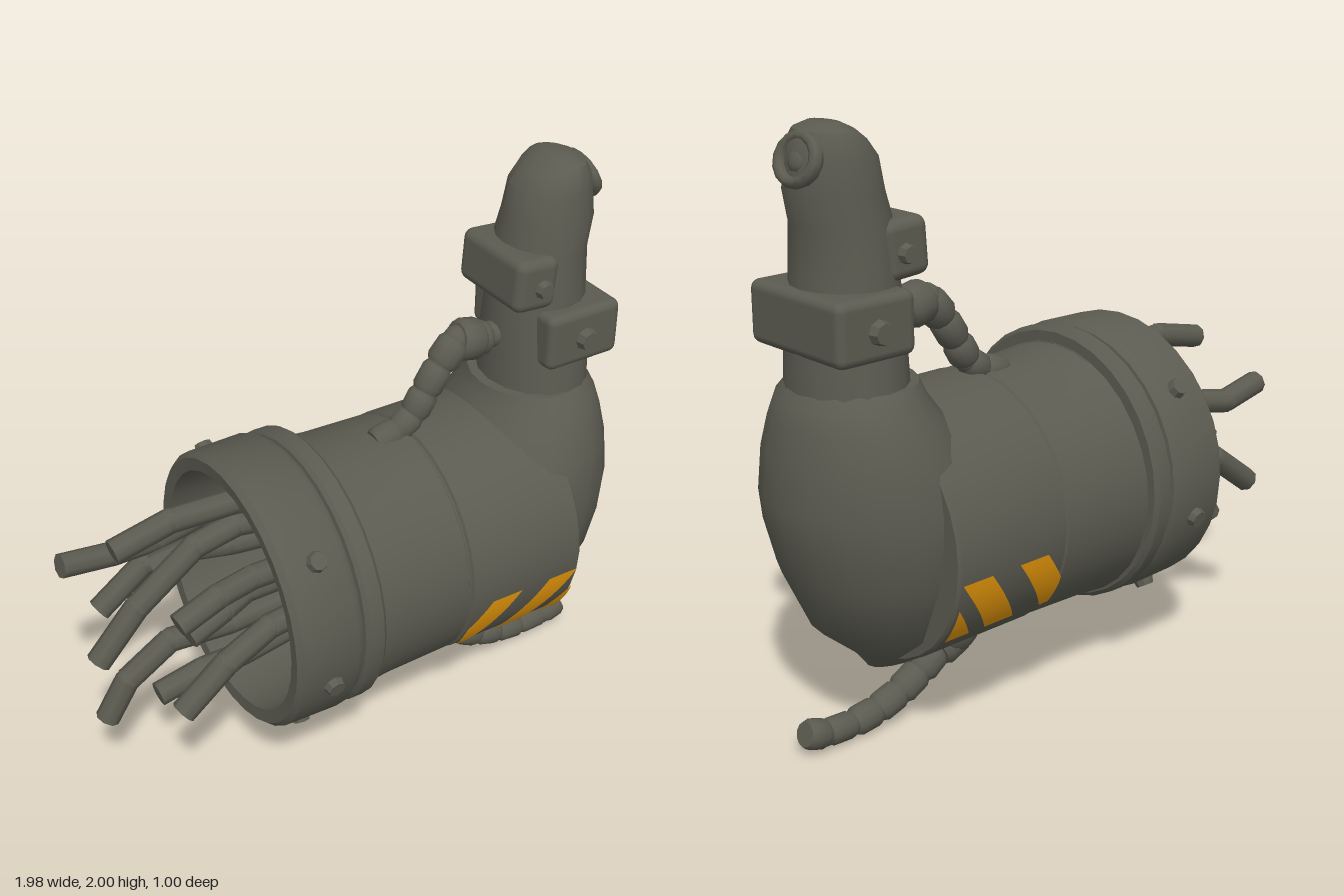
import * as THREE from 'three';
import { toCreasedNormals } from 'three/addons/utils/BufferGeometryUtils.js';
import { RoundedBoxGeometry } from 'three/addons/geometries/RoundedBoxGeometry.js';

const AXIS_Y = 0.703, BARREL_R = 0.433;

export function createModel() {
  const model = new THREE.Group();
  model.name = 'mechanicalArm';
  const metal = new THREE.MeshStandardMaterial({ color: 0x5b5b51 });
  metal.name = 'dark metal';
  const orange = new THREE.MeshStandardMaterial({ color: 0xe6970a, side: THREE.DoubleSide });
  orange.name = 'warning orange';

  const add = (name, geometry, material = metal, parent = model) => {
    const mesh = new THREE.Mesh(geometry, material);
    mesh.name = name;
    parent.add(mesh);
    return mesh;
  };
  const group = (name) => {
    const g = new THREE.Group();
    g.name = name;
    model.add(g);
    return g;
  };
  const crease = (g, angle = 0.6) => toCreasedNormals(g, angle);

  // Lathe turned about the x axis; profile entries are [x, radius]
  const turned = (profile, y) => {
    const g = new THREE.LatheGeometry(profile.map(([x, r]) => new THREE.Vector2(r, x)), 32);
    return crease(g.rotateZ(-Math.PI / 2).translate(0, y, 0));
  };

  // Stack of horizontal ovals, each [y, xMin, xMax, halfDepth], capped at both ends
  const loft = (rings, n = 20) => {
    const pos = [], idx = [];
    for (const [y, x0, x1, w] of rings)
      for (let j = 0; j < n; j++) {
        const t = (j / n) * Math.PI * 2;
        pos.push((x0 + x1) / 2 + Math.cos(t) * (x1 - x0) / 2, y, Math.sin(t) * w);
      }
    const last = rings.length - 1;
    for (let i = 0; i < last; i++)
      for (let j = 0; j < n; j++) {
        const a = i * n + j, b = i * n + (j + 1) % n;
        idx.push(a, a + n, b, b, a + n, b + n);
      }
    for (const i of [0, last]) {
      const [y, x0, x1] = rings[i], c = pos.length / 3;
      pos.push((x0 + x1) / 2, y, 0);
      for (let j = 0; j < n; j++) {
        const a = i * n + j, b = i * n + (j + 1) % n;
        idx.push(...(i === 0 ? [c, a, b] : [c, b, a]));
      }
    }
    const g = new THREE.BufferGeometry();
    g.setAttribute('position', new THREE.Float32BufferAttribute(pos, 3));
    g.setIndex(idx);
    return crease(g);
  };

  // Solid round link from a to b; a waist below 1 narrows its ends
  const link = (name, a, b, r, waist, sides, parent) => {
    const len = a.distanceTo(b), e = Math.min(0.018, len * 0.25);
    const p = [[0, 0], [r * waist, 0], [r, e], [r, len - e], [r * waist, len], [0, len]];
    const mesh = add(name, crease(new THREE.LatheGeometry(p.map(([x, y]) => new THREE.Vector2(x, y)), sides), 0.9), metal, parent);
    mesh.position.copy(a);
    mesh.quaternion.setFromUnitVectors(new THREE.Vector3(0, 1, 0), b.clone().sub(a).normalize());
  };

  const bolt = (name, x, y, z, dir, r = 0.04) => {
    const mesh = add(name, crease(new THREE.CylinderGeometry(r * 0.75, r, 0.045, 8)));
    mesh.position.set(x, y, z);
    mesh.quaternion.setFromUnitVectors(new THREE.Vector3(0, 1, 0), dir);
  };

  // Main barrel with a seam, closed at the back of the hollow
  add('barrel', turned([[-0.16, 0], [-0.16, 0.445], [-0.05, 0.436], [0.188, 0.43],
    [0.194, 0.422], [0.2, 0.422], [0.206, BARREL_R], [0.64, BARREL_R], [0.65, 0.425], [0.65, 0]], AXIS_Y));

  // Open collar and the narrow ring behind it
  add('collar', turned([[-0.49, 0.42], [-0.495, 0.465], [-0.475, 0.482], [-0.28, 0.486], [-0.255, 0.472],
    [-0.25, 0.44], [-0.16, 0.43], [-0.16, 0.4], [-0.49, 0.42]], 0.72));
  add('collarRing', turned([[-0.25, 0.43], [-0.243, 0.47], [-0.23, 0.482], [-0.18, 0.482], [-0.165, 0.468],
    [-0.165, 0.43], [-0.25, 0.43]], 0.72));
  for (const side of [1, -1])
    for (const deg of [40, -14, -60]) {
      const t = deg * Math.PI / 180;
      const d = new THREE.Vector3(0, Math.sin(t), Math.cos(t) * side);
      bolt('collarBolt', -0.365, 0.72 + d.y * 0.485, d.z * 0.485, d);
    }

  // Elbow housing and the tapering forearm
  add('elbow', loft([[0.235, 0.4, 0.67, 0.07], [0.29, 0.32, 0.71, 0.16], [0.4, 0.32, 0.84, 0.265],
    [0.6, 0.27, 0.93, 0.345], [0.75, 0.25, 0.97, 0.368], [0.85, 0.25, 0.983, 0.368], [1.0, 0.38, 0.965, 0.335],
    [1.1, 0.44, 0.945, 0.295], [1.17, 0.49, 0.925, 0.255], [1.215, 0.505, 0.89, 0.22]]));
  add('forearm', loft([[1.18, 0.54, 0.9, 0.215], [1.33, 0.54, 0.9, 0.2], [1.5, 0.55, 0.88, 0.178],
    [1.7, 0.57, 0.872, 0.166], [1.8, 0.595, 0.895, 0.155], [1.9, 0.615, 0.882, 0.145],
    [1.95, 0.655, 0.87, 0.132], [1.98, 0.695, 0.85, 0.115], [2.0, 0.735, 0.8, 0.07]], 16));

  // Socket on the forearm tip
  const socket = group('tipSocket');
  socket.position.set(0.866, 1.9, 0);
  socket.rotation.set(0, Math.PI / 2, 0);
  socket.rotateX(-0.35);
  add('socketRim', new THREE.TorusGeometry(0.084, 0.022, 8, 14), metal, socket).scale.y = 0.82;
  add('socketPin', new THREE.SphereGeometry(0.04, 10, 6), metal, socket).scale.z = 0.5;

  // Clamps around the forearm
  add('wideClamp', new RoundedBoxGeometry(0.29, 0.2, 0.45, 2, 0.03)).position.set(0.765, 1.42, 0);
  const small = add('smallClamp', new RoundedBoxGeometry(0.165, 0.185, 0.34, 3, 0.035));
  small.position.set(0.6, 1.625, 0);
  small.rotation.z = -0.07;
  for (const side of [1, -1]) {
    const d = new THREE.Vector3(0, 0, side);
    bolt('wideClampBolt', 0.765, 1.415, side * 0.233, d, 0.044);
    bolt('smallClampBolt', 0.615, 1.615, side * 0.175, d, 0.036);
  }

  // Segmented hoses; points are [x, y, radius]
  const hose = (name, pts) => {
    const g = group(name);
    for (let i = 0; i < pts.length - 1; i++)
      link('hoseLink', new THREE.Vector3(pts[i][0], pts[i][1], 0),
        new THREE.Vector3(pts[i + 1][0], pts[i + 1][1], 0), pts[i][2], 0.82, 12, g);
    for (const [x, y, r] of pts.slice(1, -1))
      add('hoseJoint', new THREE.SphereGeometry(r * 0.85, 10, 8), metal, g).position.set(x, y, 0);
  };
  hose('upperHose', [[0.65, 1.39, 0.045], [0.49, 1.39, 0.072], [0.4, 1.41, 0.058], [0.335, 1.335, 0.053],
    [0.28, 1.25, 0.053], [0.235, 1.175, 0.05], [0.17, 1.13, 0.052], [0.08, 1.11, 0.05]]);
  hose('lowerHose', [[0.2, 0.265, 0.05], [0.29, 0.235, 0.072], [0.385, 0.195, 0.058], [0.46, 0.14, 0.055],
    [0.545, 0.095, 0.052], [0.64, 0.064, 0.05], [0.74, 0.052, 0.046], [0.85, 0.057, 0.05], [0.93, 0.083, 0.05]]);
  add('lowerHoseSaddle', new THREE.SphereGeometry(0.1, 12, 8)).position.set(0.32, 0.27, 0);

  // Loose bent cables spilling from the open end
  const cables = [
    [[-0.885, 1.035, 0], [-0.68, 1.08, 0], [-0.45, 1.07, 0]],
    [[-0.985, 0.885, -0.21], [-0.8, 0.855, -0.22], [-0.65, 0.88, -0.19], [-0.5, 0.92, -0.18]],
    [[-0.97, 0.625, 0], [-0.82, 0.79, 0], [-0.6, 0.95, 0], [-0.45, 0.98, 0]],
    [[-0.82, 0.57, 0.3], [-0.66, 0.7, 0.3], [-0.48, 0.745, 0.26]],
    [[-0.94, 0.33, -0.05], [-0.86, 0.47, -0.04], [-0.7, 0.58, -0.03], [-0.48, 0.57, -0.02]],
    [[-0.77, 0.395, 0], [-0.6, 0.43, 0], [-0.45, 0.43, 0]],
    [[-0.77, 0.83, 0.2], [-0.62, 0.88, 0.19], [-0.48, 0.88, 0.16]],
    [[-0.83, 0.57, -0.31], [-0.65, 0.7, -0.31], [-0.48, 0.74, -0.27]],
    [[-0.7, 0.83, -0.12], [-0.58, 0.88, -0.08], [-0.45, 0.88, -0.04]],
    [[-0.69, 0.68, 0.1], [-0.55, 0.72, 0.08], [-0.45, 0.74, 0.05]],
  ];
  for (const path of cables) {
    const g = group('cable');
    const pts = path.map((p) => new THREE.Vector3(...p));
    const end = pts[pts.length - 1];
    pts.push(new THREE.Vector3(-0.14, 0.72 + (end.y - 0.72) * 0.8, end.z * 0.8));
    for (let i = 0; i < pts.length - 1; i++) {
      link('cableRun', pts[i], pts[i + 1], 0.042, 1, 8, g);
      if (i > 0) add('cableBend', new THREE.SphereGeometry(0.042, 8, 6), metal, g).position.copy(pts[i]);
    }
  }

  // Slanted warning stripes hugging both cheeks: [left, right] at the lower edge, clipped to the panel
  const stripe = (left, right, top, side) => {
    const g = new THREE.PlaneGeometry(1, 1, 6, 8), p = g.attributes.position;
    for (let i = 0; i < p.count; i++) {
      const t = (p.getY(i) + 0.5) * top, y = 0.428 + t * 0.217;
      const a = THREE.MathUtils.clamp(left + t * 0.165, 0.2, 0.638);
      const b = THREE.MathUtils.clamp(right + t * 0.165, 0.2, 0.638);
      const x = a + (b - a) * (p.getX(i) + 0.5);
      p.setXYZ(i, x, y, side * Math.sqrt((BARREL_R + 0.007) ** 2 - (y - AXIS_Y) ** 2));
    }
    if (side < 0) g.index.array.reverse();
    g.computeVertexNormals();
    return g;
  };
  for (const side of [1, -1])
    for (const [l, r, top] of [[0.12, 0.24, 1], [0.355, 0.475, 1], [0.54, 0.65, 0.58]])
      add('warningStripe', stripe(l, r, top, side), orange);

  return model;
}
